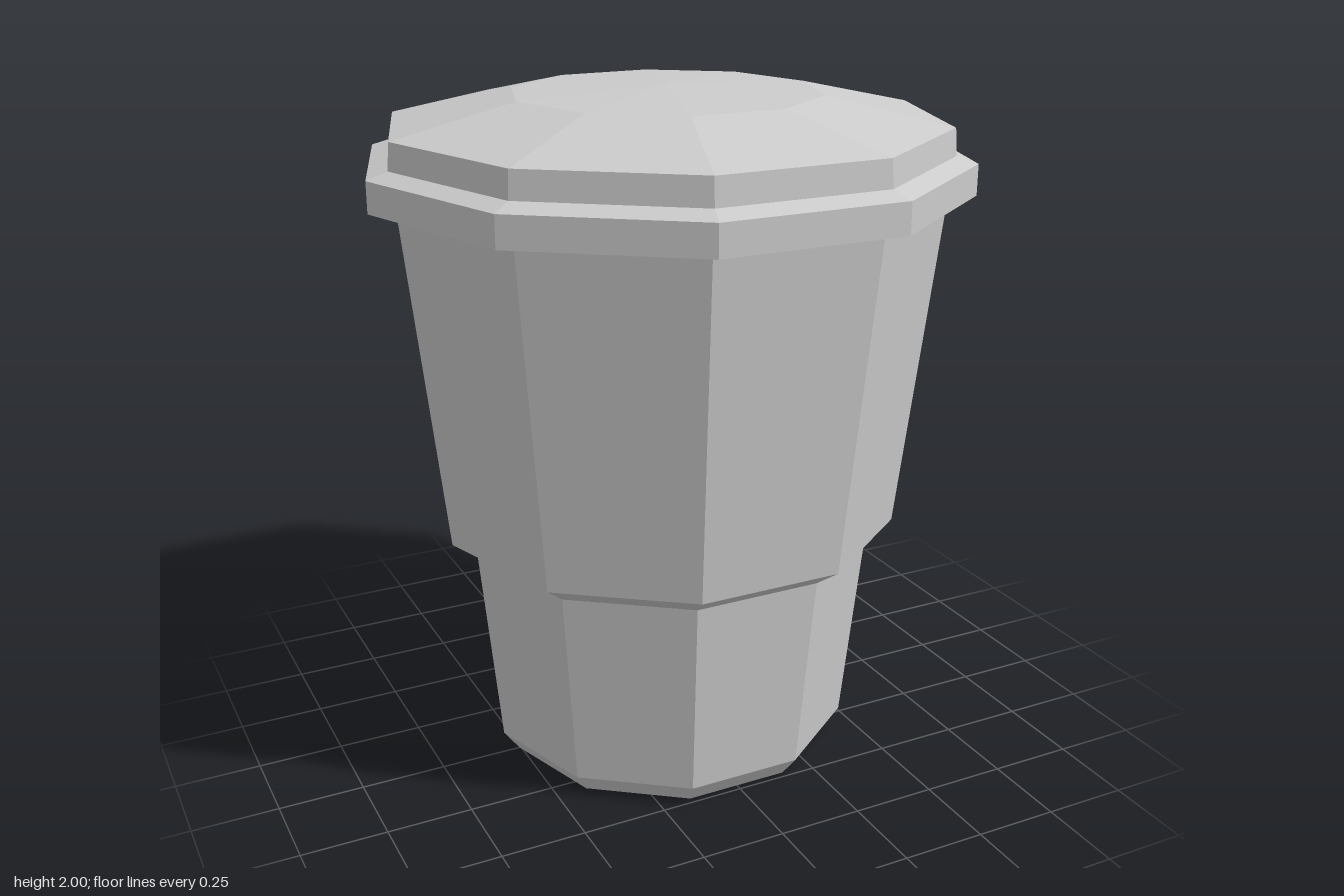
import * as THREE from 'three';

const SIDES = 10;

// Faceted solid of revolution from [radius, height] pairs, with corners on the x axis
function facetedTurn(name, profile, material) {
  const points = profile.map(([r, y]) => new THREE.Vector2(r, y));
  const geometry = new THREE.LatheGeometry(points, SIDES, Math.PI / SIDES);
  const mesh = new THREE.Mesh(geometry, material);
  mesh.name = name;
  return mesh;
}

export function createModel() {
  const group = new THREE.Group();
  group.name = 'liddedCup';
  const material = new THREE.MeshStandardMaterial({ color: 0xcccccc, flatShading: true });

  // Lower cup with a bevelled foot and closed base
  group.add(facetedTurn('cupBase', [
    [0, 0], [0.505, 0], [0.553, 0.065], [0.612, 0.67],
  ], material));

  // Wider upper cup with a bevelled step, flaring up to the lid
  group.add(facetedTurn('cupBody', [
    [0.612, 0.67], [0.687, 0.725], [0.795, 1.715],
  ], material));

  // Lid: overhanging rim, raised band and shallow dome
  group.add(facetedTurn('lid', [
    [0.795, 1.715], [0.872, 1.715], [0.872, 1.803], [0.811, 1.823],
    [0.805, 1.9], [0.447, 1.98], [0, 2],
  ], material));

  return group;
}
